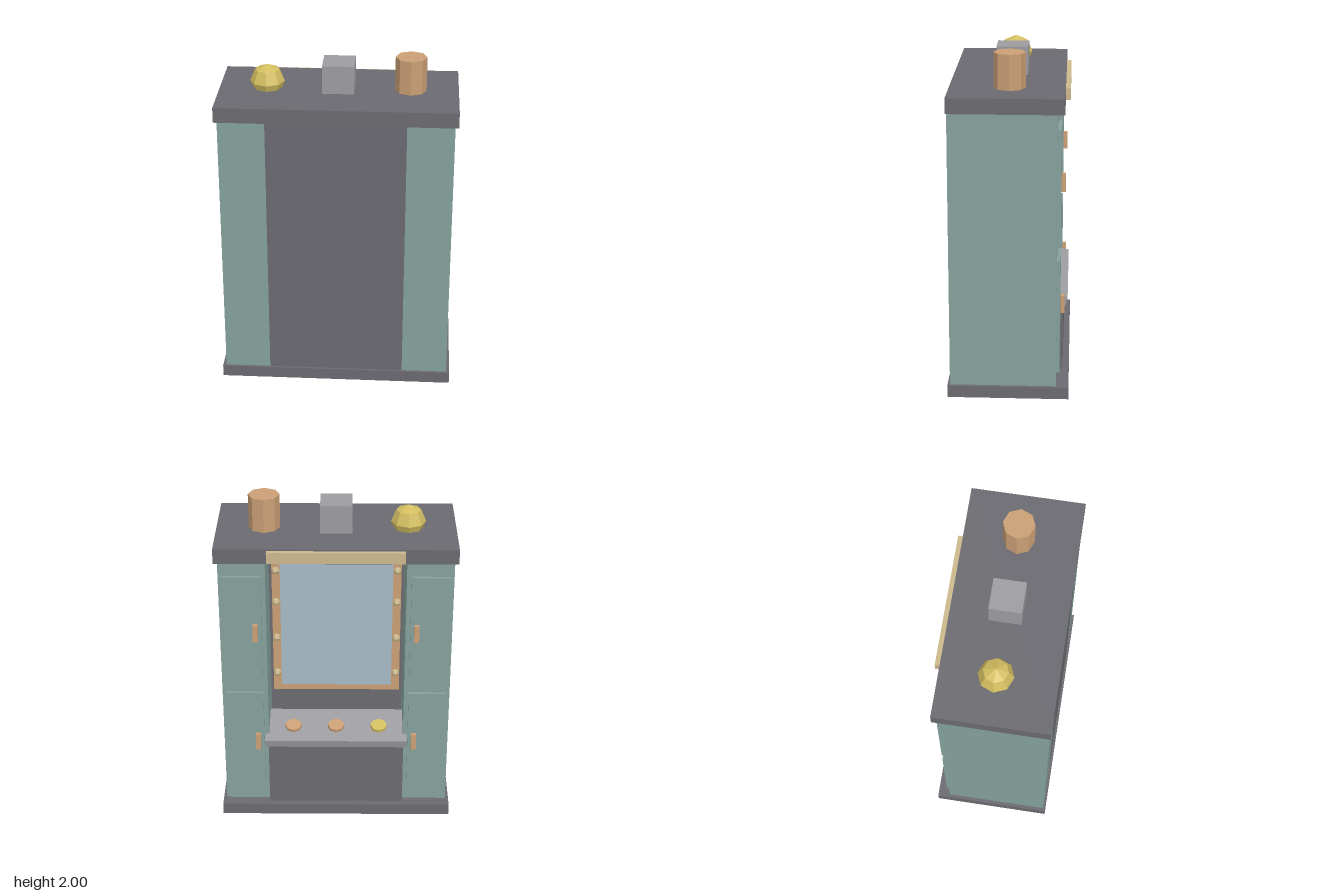
import * as THREE from 'three';

const mat = (name, color, flat = true) => {
  const m = new THREE.MeshStandardMaterial({ color, flatShading: flat });
  m.name = name;
  return m;
};

export function createModel() {
  const root = new THREE.Group();
  root.name = 'vanityCabinet';
  const charcoal = mat('charcoal', 0x6b6a70);
  const teal = mat('teal', 0x85a19c);
  const stone = mat('lightGrey', 0x9c9ca1);
  const copper = mat('copper', 0xca9f75);
  const gold = mat('gold', 0xd2bd60);
  const cream = mat('cream', 0xcbb88c);
  const glass = mat('mirrorBlue', 0xa6bac8);

  const add = (name, geometry, material, x = 0, y = 0, z = 0, parent = root) => {
    const mesh = new THREE.Mesh(geometry, material);
    mesh.name = name;
    mesh.position.set(x, y, z);
    parent.add(mesh);
    return mesh;
  };
  // Box given by its limits on each axis
  const box = (name, material, [x0, x1], [y0, y1], [z0, z1], parent = root) =>
    add(name, new THREE.BoxGeometry(x1 - x0, y1 - y0, z1 - z0), material,
      (x0 + x1) / 2, (y0 + y1) / 2, (z0 + z1) / 2, parent);
  // Box limits mirrored across x when side is -1
  const span = (side, a, b) => (side > 0 ? [a, b] : [-b, -a]);

  // Carcass
  box('base', charcoal, [-0.7, 0.7], [0, 0.072], [-0.354, 0.354]);
  box('topSlab', charcoal, [-0.7, 0.7], [1.705, 1.795], [-0.318, 0.346]);
  box('backPanel', charcoal, [-0.407, 0.407], [0.072, 1.705], [0.075, 0.34]);

  // Side cabinets with two doors each
  for (const side of [1, -1]) {
    const cabinet = new THREE.Group();
    cabinet.name = side > 0 ? 'leftCabinet' : 'rightCabinet';
    root.add(cabinet);
    box('cabinetBody', teal, span(side, 0.407, 0.68), [0.072, 1.705], [-0.28, 0.34], cabinet);
    for (const [doorY, handleY] of [[0.15, 0.455], [0.92, 1.2]]) {
      box('door', teal, span(side, 0.435, 0.66), [doorY, doorY + 0.69], [-0.3, -0.28], cabinet);
      box('handle', copper, span(side, 0.456, 0.486), [handleY, handleY + 0.108], [-0.325, -0.3], cabinet);
    }
  }

  // Mirror with its frame and bulbs
  const mirror = new THREE.Group();
  mirror.name = 'mirror';
  root.add(mirror);
  box('mirrorFrame', copper, [-0.39, 0.39], [0.66, 1.595], [0.055, 0.075], mirror);
  box('mirrorGlass', glass, [-0.34, 0.34], [0.7, 1.555], [0.047, 0.055], mirror);
  for (const side of [1, -1])
    for (const y of [0.79, 1.035, 1.28, 1.49])
      add('bulb', new THREE.SphereGeometry(0.025, 6, 4), cream, side * 0.365, y, 0.04, mirror);

  // Desk: body and sloping top with three round pots
  box('deskBody', charcoal, [-0.41, 0.41], [0.072, 0.49], [-0.316, -0.085]);
  const deskTop = new THREE.Group();
  deskTop.name = 'deskTop';
  deskTop.position.set(0, 0.535, -0.2);
  deskTop.rotation.x = -0.22;
  root.add(deskTop);
  box('deskSlab', stone, [-0.43, 0.43], [-0.025, 0.025], [-0.14, 0.14], deskTop);
  [[0.26, copper], [0, copper], [-0.26, gold]].forEach(([x, m]) =>
    add('pot', new THREE.CylinderGeometry(0.05, 0.05, 0.02, 8), m, x, 0.035, -0.015, deskTop));

  // Sign board on the edge of the top slab
  box('signBoard', cream, [-0.395, 0.395], [1.72, 1.786], [-0.346, -0.318]);

  // Ornaments on the top
  add('goldOrnament', new THREE.SphereGeometry(0.102, 8, 4), gold, -0.42, 1.835, 0);
  box('boxOrnament', stone, [-0.093, 0.093], [1.795, 1.965], [-0.093, 0.093]);
  add('jarOrnament', new THREE.CylinderGeometry(0.092, 0.092, 0.205, 8), copper, 0.42, 1.8975, 0);

  return root;
}
